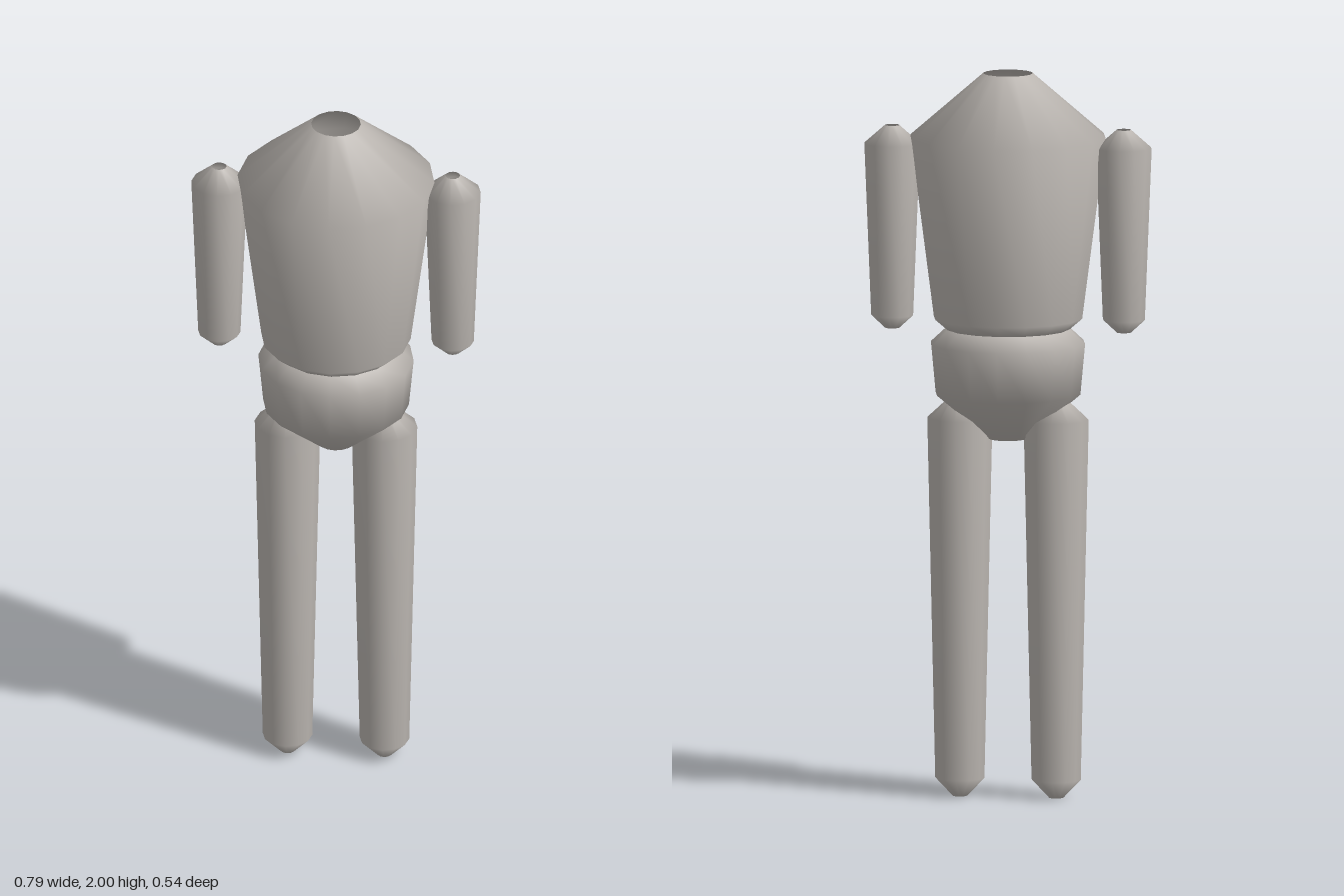
import * as THREE from 'three';

export function createModel() {
  const model = new THREE.Group();
  const stone = new THREE.MeshStandardMaterial({ color: 0xbab5b0, side: THREE.DoubleSide });
  stone.name = 'warmGrey';

  // Open-ended turned body; profile is [radius, height] from bottom to top
  const turned = (name, profile, sides, x = 0) => {
    const points = profile.map(([r, y]) => new THREE.Vector2(r, y));
    const mesh = new THREE.Mesh(new THREE.LatheGeometry(points, sides), stone);
    mesh.name = name;
    mesh.position.x = x;
    model.add(mesh);
  };

  turned('torso', [[0.17, 1.295], [0.205, 1.325], [0.27, 1.825], [0.068, 2]], 16);
  turned('pelvis', [[0.052, 0.99], [0.2, 1.115], [0.213, 1.255], [0.17, 1.295]], 16);

  const arm = [[0.02, 1.29], [0.058, 1.325], [0.077, 1.8], [0.02, 1.85]];
  const leg = [[0.02, 0], [0.068, 0.05], [0.09, 1.045], [0.025, 1.105]];
  for (const [side, s] of [['left', 1], ['right', -1]]) {
    turned(side + 'Arm', arm, 12, s * 0.32);
    turned(side + 'Leg', leg, 12, s * 0.133);
  }
  return model;
}
